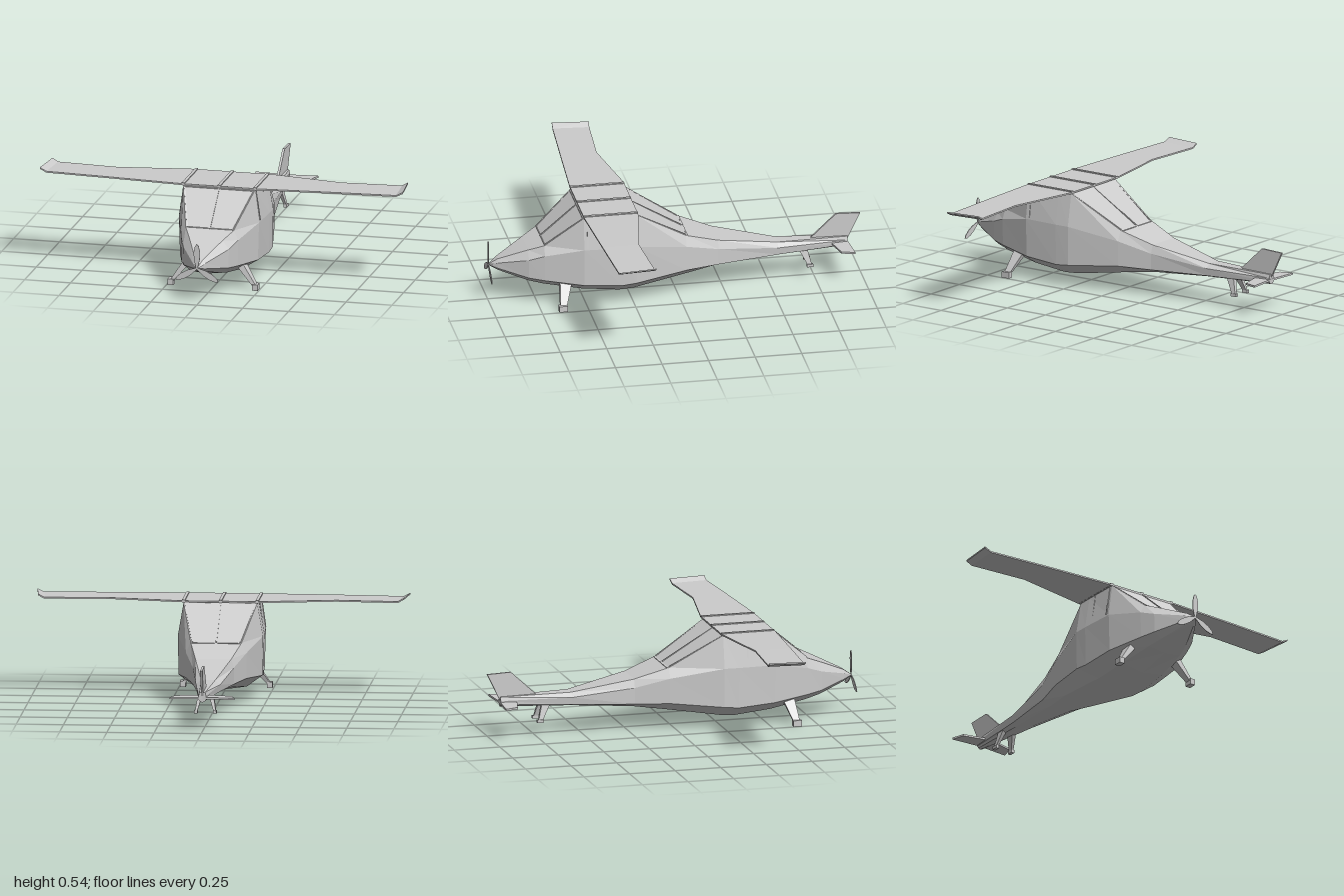
import * as THREE from 'three';

const material = new THREE.MeshStandardMaterial({ color: 0xcccccc, flatShading: true });
const V = (x, y, z) => new THREE.Vector3(x, y, z);

// Skins a list of closed rings and caps both ends
function loft(rings) {
  const pos = [];
  const tri = (...pts) => pts.forEach((p) => pos.push(p.x, p.y, p.z));
  const n = rings[0].length;
  const last = rings[rings.length - 1];
  for (let i = 0; i < rings.length - 1; i++) {
    for (let j = 0; j < n; j++) {
      const k = (j + 1) % n;
      tri(rings[i][j], rings[i][k], rings[i + 1][k]);
      tri(rings[i][j], rings[i + 1][k], rings[i + 1][j]);
    }
  }
  for (let j = 1; j < n - 1; j++) {
    tri(rings[0][0], rings[0][j + 1], rings[0][j]);
    tri(last[0], last[j], last[j + 1]);
  }
  const geometry = new THREE.BufferGeometry();
  geometry.setAttribute('position', new THREE.Float32BufferAttribute(pos, 3));
  geometry.computeVertexNormals();
  return geometry;
}

// Flat plate from an outline, centred on its own thickness
function plate(points, thickness) {
  const shape = new THREE.Shape(points.map(([x, y]) => new THREE.Vector2(x, y)));
  const geometry = new THREE.ExtrudeGeometry(shape, { depth: thickness, bevelEnabled: false });
  return geometry.translate(0, 0, -thickness / 2);
}

export function createModel() {
  const model = new THREE.Group();
  const add = (name, geometry, parent = model) => {
    const mesh = new THREE.Mesh(geometry, material);
    mesh.name = name;
    parent.add(mesh);
    return mesh;
  };

  // Square bar between two points
  const bar = (name, a, b, size, parent) => {
    const mesh = add(name, new THREE.BoxGeometry(size, size, a.distanceTo(b)), parent);
    mesh.position.copy(a).add(b).multiplyScalar(0.5);
    mesh.lookAt(b);
    return mesh;
  };

  // Fuselage: z, then x,y of top edge, upper side, chine and belly edge, then keel y
  const stations = [
    [-0.93, 0.015, 0.21, 0.02, 0.19, 0.02, 0.17, 0.012, 0.16, 0.155],
    [-0.55, 0.037, 0.217, 0.065, 0.195, 0.06, 0.155, 0.03, 0.145, 0.14],
    [-0.22, 0.095, 0.28, 0.11, 0.235, 0.11, 0.147, 0.06, 0.125, 0.118],
    [-0.04, 0.135, 0.34, 0.16, 0.285, 0.16, 0.15, 0.1, 0.105, 0.09],
    [0.24, 0.195, 0.51, 0.225, 0.335, 0.222, 0.125, 0.14, 0.065, 0.045],
    [0.32, 0.197, 0.51, 0.226, 0.335, 0.222, 0.117, 0.14, 0.06, 0.037],
    [0.52, 0.195, 0.51, 0.218, 0.335, 0.212, 0.13, 0.13, 0.078, 0.057],
    [0.72, 0.13, 0.34, 0.156, 0.29, 0.152, 0.148, 0.1, 0.11, 0.098],
    [0.8, 0.09, 0.305, 0.125, 0.26, 0.122, 0.157, 0.08, 0.127, 0.118],
    [0.95, 0.02, 0.236, 0.036, 0.218, 0.036, 0.188, 0.022, 0.174, 0.17],
    [0.995, 0.003, 0.203, 0.005, 0.201, 0.005, 0.199, 0.003, 0.197, 0.196],
  ];
  add('fuselage', loft(stations.map(([z, xt, yt, xu, yu, xc, yc, xb, yb, keel]) => {
    const right = [V(xb, yb, z), V(xc, yc, z), V(xu, yu, z), V(xt, yt, z)];
    const left = right.map((p) => V(-p.x, p.y, z)).reverse();
    return [V(0, keel, z), ...right, ...left];
  })));

  // Wing: x, leading z, trailing z, height, with shifted trailing corner at the upturned tip
  const half = [
    [0.21, 0.21, 0.52, 0.23, 0.516],
    [0.61, 0.61, 0.495, 0.30, 0.518],
    [0.952, 0.936, 0.472, 0.278, 0.518],
    [0.988, 0.968, 0.47, 0.275, 0.536],
  ];
  const wingSections = [...half.map(([a, b, ...rest]) => [-a, -b, ...rest]).reverse(), ...half];
  const t = 0.004;
  add('wing', loft(wingSections.map(([xl, xt, zl, zt, y]) => [
    V(xl, y + t, zl), V(xl, y - t, zl), V(xt, y - t, zt), V(xt, y + t, zt),
  ])));

  // Roof ribs across the wing
  for (const x of [-0.195, 0, 0.195]) {
    add('roofRib', new THREE.BoxGeometry(0.016, 0.014, 0.29)).position.set(x, 0.518, 0.375);
  }

  // Window frames
  const frames = new THREE.Group();
  frames.name = 'windowFrames';
  model.add(frames);
  const frame = (a, b) => bar('windowFrame', a, b, 0.007, frames);
  frame(V(0, 0.508, 0.522), V(0, 0.342, 0.72));
  frame(V(0, 0.508, 0.24), V(0, 0.342, -0.04));
  for (const s of [-1, 1]) {
    frame(V(s * 0.008, 0.341, 0.715), V(s * 0.125, 0.341, 0.715));
    frame(V(s * 0.008, 0.336, -0.048), V(s * 0.13, 0.336, -0.048));
    frame(V(0, 0.506, 0.522), V(s * 0.19, 0.506, 0.522));
    frame(V(0, 0.506, 0.242), V(s * 0.19, 0.506, 0.242));
    frame(V(s * 0.186, 0.506, 0.522), V(s * 0.122, 0.342, 0.718));
    frame(V(s * 0.186, 0.506, 0.24), V(s * 0.127, 0.342, -0.038));
    for (const z of [0.5, 0.37]) frame(V(s * 0.195, 0.506, z), V(s * 0.218, 0.345, z));
  }

  // Tail fin and tailplane
  const fin = add('tailFin', plate([[-0.72, 0.2], [-0.87, 0.34], [-1, 0.335], [-0.93, 0.19]], 0.012));
  fin.rotation.y = -Math.PI / 2;
  const edge = [[0.035, -0.845], [0.15, -0.873], [0.172, -0.944]];
  const outline = [...edge, [0, -0.93], ...edge.map(([x, z]) => [-x, z]).reverse()];
  const tailplane = add('tailplane', plate(outline, 0.01));
  tailplane.rotation.x = Math.PI / 2;
  tailplane.position.y = 0.178;

  // Three-bladed propeller
  const propeller = new THREE.Group();
  propeller.name = 'propeller';
  propeller.position.set(0, 0.2, 0.996);
  model.add(propeller);
  const blade = plate([[0.004, 0], [0.016, 0.05], [0.017, 0.09], [0.01, 0.122], [0, 0.134],
    [-0.01, 0.122], [-0.017, 0.09], [-0.016, 0.05], [-0.004, 0]], 0.004);
  for (let i = 0; i < 3; i++) {
    add('propellerBlade', blade, propeller).rotation.z = (i * Math.PI * 2) / 3;
  }

  // Tapered landing leg, from foot up to hull, with a block foot
  const leg = (name, foot, root, w0, d0, w1, d1, block) => {
    const ring = (p, w, d) => [V(p.x + w, p.y, p.z + d), V(p.x + w, p.y, p.z - d),
      V(p.x - w, p.y, p.z - d), V(p.x - w, p.y, p.z + d)];
    add(name, loft([ring(foot, w0, d0), ring(root, w1, d1)]));
    add(name + 'Foot', new THREE.BoxGeometry(...block)).position.copy(foot);
  };
  for (const s of [-1, 1]) {
    leg('mainLeg', V(s * 0.23, 0.016, 0.636), V(s * 0.14, 0.135, 0.608),
      0.01, 0.016, 0.022, 0.032, [0.03, 0.032, 0.046]);
    leg('tailLeg', V(s * 0.05, 0.075, -0.722), V(s * 0.03, 0.158, -0.69),
      0.006, 0.011, 0.012, 0.022, [0.018, 0.016, 0.034]);
  }
  return model;
}
